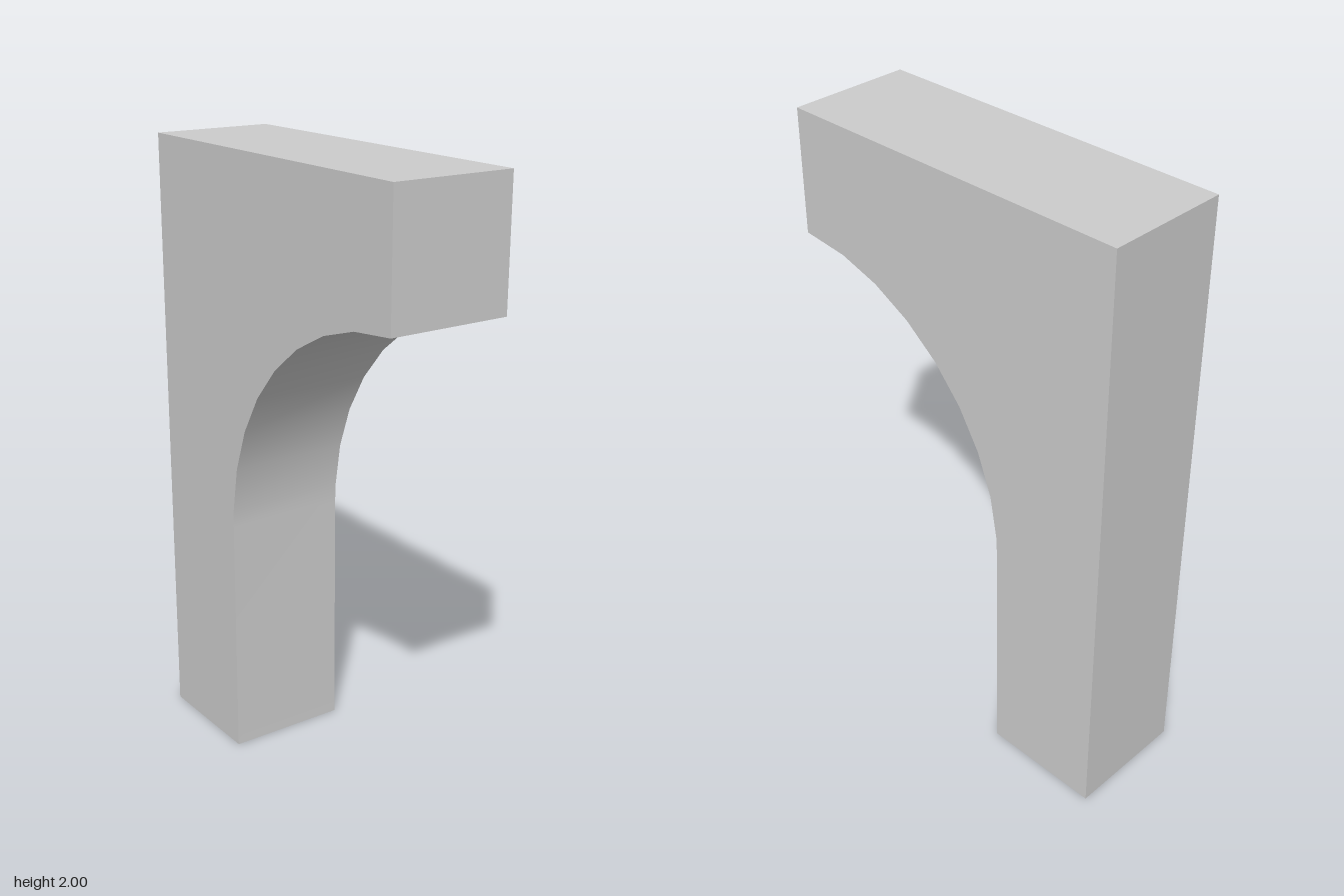
import * as THREE from 'three';
import { toCreasedNormals } from 'three/addons/utils/BufferGeometryUtils.js';

export function createModel() {
  const group = new THREE.Group();
  group.name = 'archBracket';
  const material = new THREE.MeshStandardMaterial({ color: 0xcccccc });

  // Post and overhanging beam joined by a quarter-round underside
  const radius = 0.8, step = 10.59, first = 4.3;
  const angles = [0];
  for (let i = 0; i < 8; i++) angles.push(first + i * step);
  angles.push(90);

  const profile = new THREE.Shape();
  profile.moveTo(-0.6, 0);
  profile.lineTo(-0.2, 0);
  for (const degrees of angles) {
    const a = THREE.MathUtils.degToRad(degrees);
    profile.lineTo(0.6 - radius * Math.cos(a), 0.8 + radius * Math.sin(a));
  }
  profile.lineTo(0.6, 2);
  profile.lineTo(-0.6, 2);
  profile.closePath();

  // Extrude through the depth, smooth along the curve and crisp elsewhere
  const solid = new THREE.ExtrudeGeometry(profile, { depth: 0.4, bevelEnabled: false });
  solid.translate(0, 0, -0.2);
  const bracket = new THREE.Mesh(toCreasedNormals(solid, 0.5), material);
  bracket.name = 'halfArch';
  group.add(bracket);
  return group;
}
